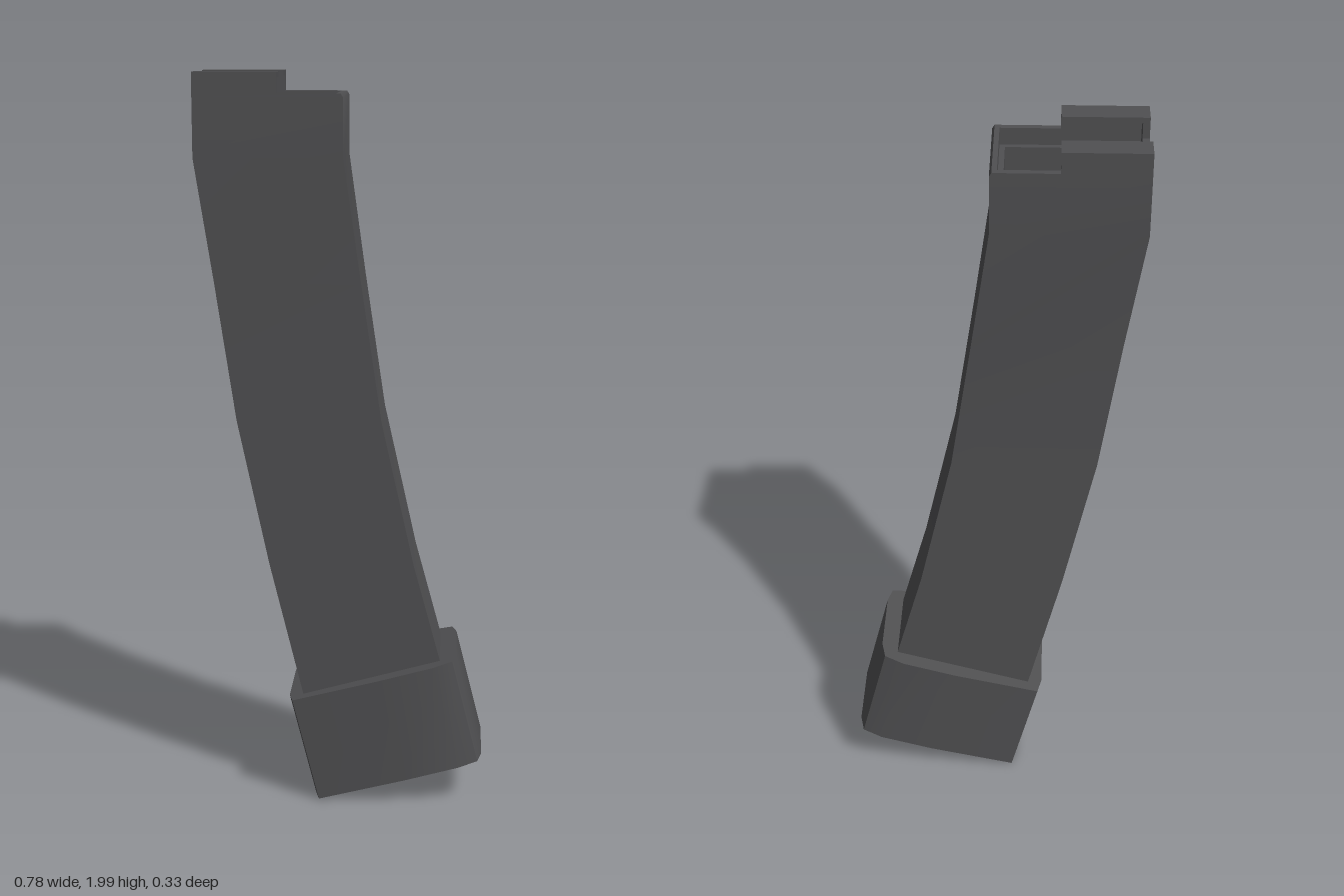
import * as THREE from 'three';
import { toCreasedNormals } from 'three/addons/utils/BufferGeometryUtils.js';

// Skin a stack of rings (each counter-clockwise from above) and cap both ends.
function loft(rings) {
  const n = rings[0].length, index = [];
  for (let r = 0; r < rings.length - 1; r++) {
    for (let i = 0; i < n; i++) {
      const j = (i + 1) % n;
      const a = r * n + i, b = r * n + j, c = b + n, d = a + n;
      index.push(a, b, c, a, c, d);
    }
  }
  const last = (rings.length - 1) * n;
  for (let i = 1; i < n - 1; i++) {
    index.push(0, i + 1, i);
    index.push(last, last + i, last + i + 1);
  }
  const geo = new THREE.BufferGeometry();
  geo.setAttribute('position', new THREE.Float32BufferAttribute(rings.flat(2), 3));
  geo.setIndex(index);
  return toCreasedNormals(geo, 0.6);
}

// Four-cornered cross-section of the curved body.
function section([xL, yL, xR, yR, half, zc]) {
  return [
    [xL, yL, zc + half], [xR, yR, zc + half],
    [xR, yR, zc - half], [xL, yL, zc - half],
  ];
}

export function createModel() {
  const model = new THREE.Group();
  const steel = new THREE.MeshStandardMaterial({ color: 0x505052 });
  steel.name = 'dark grey steel';

  const add = (name, geo, x = 0, y = 0, z = 0) => {
    const mesh = new THREE.Mesh(geo, steel);
    mesh.name = name;
    mesh.position.set(x, y, z);
    model.add(mesh);
  };

  // Curved hollow body: outer wall upwards, over the rim, inner wall downwards
  const ZC = -0.006;
  const outer = [
    [-0.10, 0.27, 0.28, 0.37, 0.12, 0],
    [-0.20, 0.68, 0.195, 0.68, 0.12, 0],
    [-0.285, 1.08, 0.105, 1.08, 0.12, 0],
    [-0.34, 1.45, 0.05, 1.45, 0.12, 0],
    [-0.39, 1.78, 0.003, 1.78, 0.138, ZC],
    [-0.39, 1.935, 0.003, 1.935, 0.138, ZC],
    [-0.39, 1.945, -0.003, 1.945, 0.138, ZC],
  ];
  const inner = [
    [-0.372, 1.945, -0.016, 1.945, 0.12, ZC],
    [-0.372, 1.90, -0.016, 1.90, 0.12, ZC],
    [-0.372, 1.90, -0.03, 1.90, 0.104, ZC],
    [-0.372, 1.78, -0.03, 1.78, 0.104, ZC],
    [-0.32, 1.45, 0.03, 1.45, 0.1, 0],
    [-0.265, 1.08, 0.085, 1.08, 0.1, 0],
    [-0.18, 0.68, 0.175, 0.68, 0.1, 0],
    [-0.09, 0.32, 0.25, 0.42, 0.1, 0],
  ];
  add('curvedBody', loft([...outer, ...inner].map(section)));

  // Feed lips: side wall, overhang and closed rear end, mirrored in z
  const lipLength = 0.22, lipX = -0.28;
  for (const side of [1, -1]) {
    add('lipWall', new THREE.BoxGeometry(lipLength, 0.06, 0.018), lipX, 1.97, ZC + side * 0.129);
    add('lipOverhang', new THREE.BoxGeometry(lipLength, 0.015, 0.07), lipX, 1.9925, ZC + side * 0.103);
    add('lipRear', new THREE.BoxGeometry(0.018, 0.06, 0.07), -0.381, 1.97, ZC + side * 0.103);
  }

  // Tilted base plate with rounded ends
  const outline = [
    [-0.24, 0.10], [-0.228, 0.153], [0.02, 0.166],
    [0.173, 0.165], [0.228, 0.15], [0.24, 0.10],
  ];
  const plan = [...outline, ...outline.slice().reverse().map(([u, z]) => [u, -z])];
  const tilt = 0.27;
  const baseRing = (cx, cy) => plan.map(([u, z]) =>
    [cx + u * Math.cos(tilt), cy + u * Math.sin(tilt), z]);
  add('basePlate', loft([baseRing(0.156, 0.07), baseRing(0.083, 0.359)]));

  return model;
}
